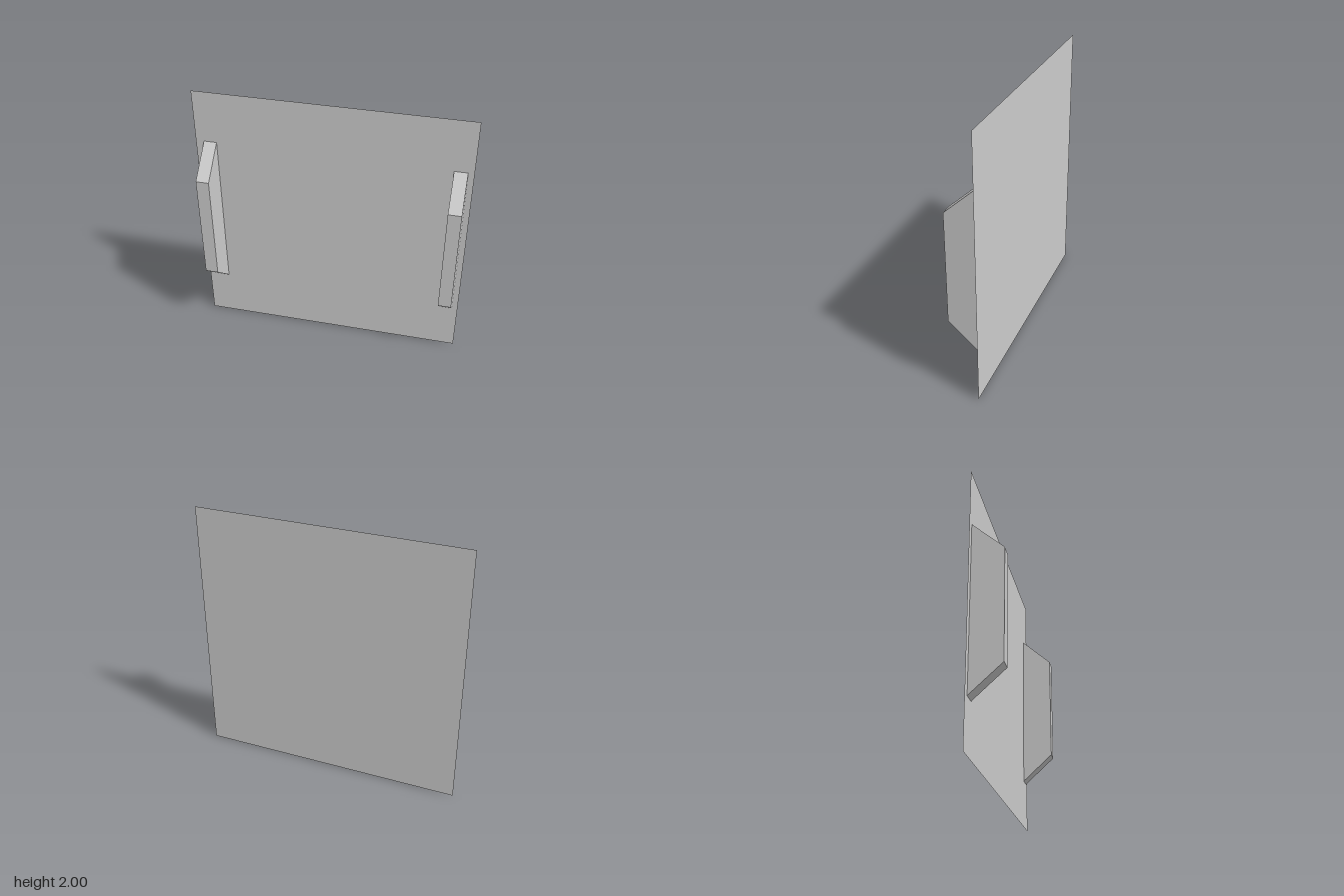
import * as THREE from 'three';

export function createModel() {
  const group = new THREE.Group();
  const grey = new THREE.MeshStandardMaterial({ color: 0xcccccc, side: THREE.DoubleSide });
  grey.name = 'light grey';
  const backZ = -0.113, frontZ = 0.113;

  // thin square backing sheet
  const panel = new THREE.Mesh(new THREE.PlaneGeometry(2, 2), grey);
  panel.name = 'backPanel';
  panel.position.set(0, 1, backZ);
  group.add(panel);

  // upright fin with sloped ends: side profile (z, y) extruded across x
  const profile = new THREE.Shape([
    [backZ, 0.37], [frontZ, 0.576], [frontZ, 1.398], [backZ, 1.604],
  ].map(([z, y]) => new THREE.Vector2(-z, y)));
  const finGeometry = new THREE.ExtrudeGeometry(profile, { depth: 0.096, bevelEnabled: false });
  finGeometry.rotateY(Math.PI / 2);

  for (const [name, x] of [['rightFin', -0.94], ['leftFin', 0.86]]) {
    const fin = new THREE.Mesh(finGeometry, grey);
    fin.name = name;
    fin.position.x = x;
    group.add(fin);
  }
  return group;
}
